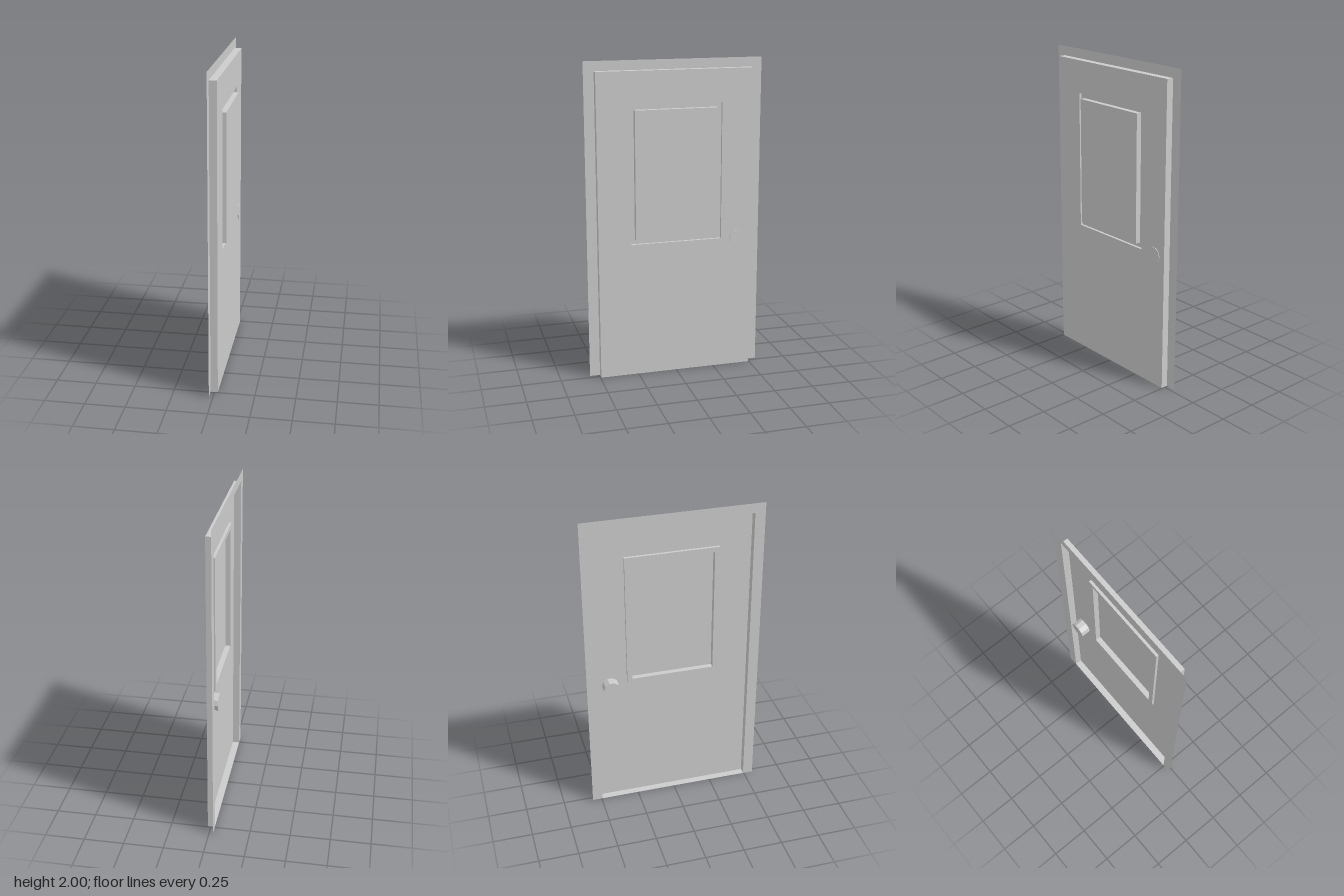
import * as THREE from 'three';

const material = new THREE.MeshStandardMaterial({ color: 0xcccccc, flatShading: true, side: THREE.DoubleSide });

// Rectangle standing across x: [x, half width in z, bottom, top]
const corners = ([x, h, y0, y1]) => [[x, y0, h], [x, y0, -h], [x, y1, -h], [x, y1, h]];

// Pressed sheet: joins successive rectangles with quads, optionally closing the last one
function pressedSheet(name, rings, closed = false) {
  const pos = [];
  const quad = (a, b, c, d) => pos.push(...a, ...b, ...c, ...a, ...c, ...d);
  for (let r = 0; r < rings.length - 1; r++) {
    const a = corners(rings[r]), b = corners(rings[r + 1]);
    for (let i = 0; i < 4; i++) {
      const j = (i + 1) % 4;
      // The casing has no bottom rail, so that flat strip is empty
      if (i === 0 && rings[r][0] === rings[r + 1][0] && rings[r][2] === rings[r + 1][2]) continue;
      quad(a[i], a[j], b[j], b[i]);
    }
  }
  if (closed) quad(...corners(rings[rings.length - 1]));
  const geometry = new THREE.BufferGeometry();
  geometry.setAttribute('position', new THREE.Float32BufferAttribute(pos, 3));
  geometry.computeVertexNormals();
  const mesh = new THREE.Mesh(geometry, material);
  mesh.name = name;
  return mesh;
}

export function createModel() {
  const door = new THREE.Group();
  door.name = 'door';

  const casingOuter = [-0.025, 0.56, 0, 2];
  const casingInner = [-0.025, 0.495, 0, 1.94];
  const leafEdge = [0.02, 0.495, 0, 1.94];
  const windowOuter = [0.02, 0.295, 0.865, 1.735];
  const grooveOuter = [0.003, 0.295, 0.865, 1.735];
  const grooveInner = [0.003, 0.262, 0.895, 1.705];
  const paneEdge = [0.037, 0.262, 0.895, 1.705];

  // Flat casing around the top and sides
  door.add(pressedSheet('casing', [casingOuter, casingInner]));
  // Leaf with its deep edge and window opening
  door.add(pressedSheet('leaf', [casingInner, leafEdge, windowOuter]));
  // Groove round the window
  door.add(pressedSheet('windowGroove', [windowOuter, grooveOuter, grooveInner]));
  // Raised window panel, hollow behind
  door.add(pressedSheet('windowPanel', [grooveInner, paneEdge], true));

  // Ten-sided knob passing through the leaf
  const knobGeometry = new THREE.CylinderGeometry(0.053, 0.053, 0.064, 10);
  knobGeometry.rotateZ(Math.PI / 2);
  const knob = new THREE.Mesh(knobGeometry, material);
  knob.name = 'knob';
  knob.position.set(-0.008, 0.86, -0.403);
  door.add(knob);

  return door;
}
